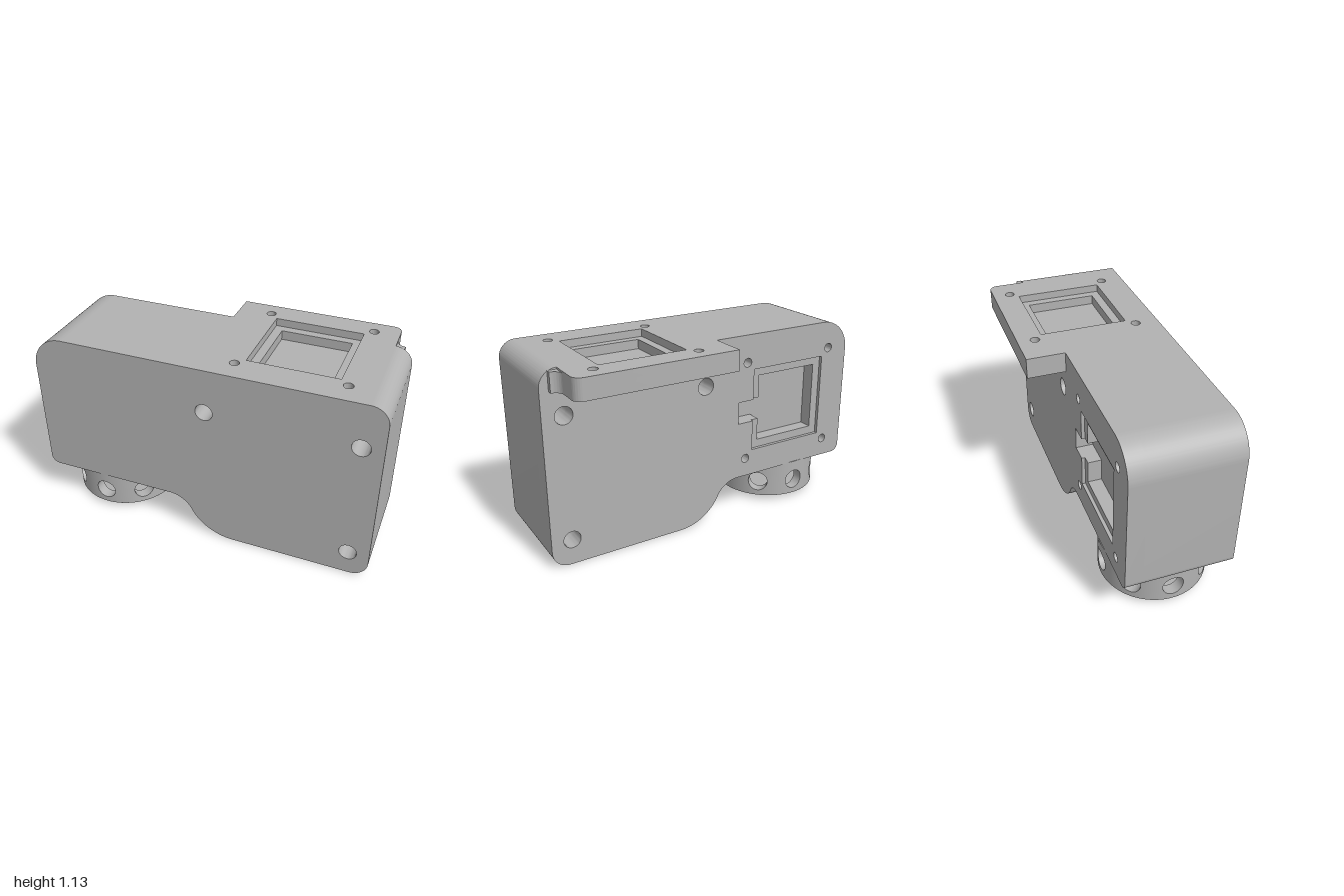
import * as THREE from 'three';
import { toCreasedNormals } from 'three/addons/utils/BufferGeometryUtils.js';
import { ParametricGeometry } from 'three/addons/geometries/ParametricGeometry.js';

const grey = new THREE.MeshStandardMaterial({ color: 0xb2b2b2 });
grey.name = 'grey';
const greyThin = grey.clone();
greyThin.side = THREE.DoubleSide;

const circle = (x, y, r) => new THREE.Path().absarc(x, y, r, 0, Math.PI * 2, true);
const poly = (pts) => new THREE.Path(pts.map(([x, y]) => new THREE.Vector2(x, y)));
const square = (x, y, h) => poly([[x - h, y - h], [x - h, y + h], [x + h, y + h], [x + h, y - h]]);
const fourHoles = (x, y) => [-1, 1].flatMap((i) => [-1, 1].map((j) => circle(x + i * 0.3025, y + j * 0.3025, 0.027)));

function extrude(shape, holes, from, to) {
  shape.holes = holes;
  const geo = new THREE.ExtrudeGeometry(shape, { depth: to - from, bevelEnabled: false, curveSegments: 20 });
  geo.translate(0, 0, from);
  return toCreasedNormals(geo, 0.5);
}

// Body outline, with a gap at the top where the slab sits
function bodyShape() {
  const s = new THREE.Shape(), q = Math.PI / 2, tilt = 0.472;
  s.moveTo(0.2, 0);
  s.absarc(0.9, 0.1, 0.1, -q, 0, false);
  s.absarc(0.9, 1.03, 0.1, 0, q, false);
  s.lineTo(0.9, 1.01);
  s.lineTo(-0.04, 1.01);
  s.lineTo(-0.04, 1.13);
  s.absarc(-0.815, 0.945, 0.185, q, 2 * q, false);
  s.absarc(-0.95, 0.295, 0.05, 2 * q, 3 * q, false);
  s.absarc(-0.2, 0.088, 0.157, q, tilt, true);
  s.absarc(0.2, 0.292, 0.292, Math.PI + tilt, 3 * q, false);
  return s;
}

// Top slab outline, drawn with y = -z
function slabShape() {
  const s = new THREE.Shape();
  s.moveTo(-0.04, -0.42);
  s.lineTo(0.9, -0.42);
  s.absarc(0.85, 0.37, 0.05, 0, Math.PI / 2, false);
  s.lineTo(-0.04, 0.42);
  return s;
}

// Square pocket with a side notch, for the back face
function notchedPocket(h) {
  const x = -0.5575, y = 0.6625;
  return poly([[x - h, y - h], [x - h, y + h], [x + h, y + h], [x + h, 0.73],
    [-0.2, 0.73], [-0.2, 0.595], [x + h, 0.595], [x + h, y - h]]);
}

// One eighth of the ring wall: a curved panel around a round hole
const ring = { x: -0.64, z: 0.105, outer: 0.31, inner: 0.245, low: 0.03, high: 0.25, holeY: 0.125, holeR: 0.061 };
function ringPoint(turn, spread, radius, target) {
  const c = Math.cos(turn), s = Math.sin(turn), q = Math.max(Math.abs(c), Math.abs(s));
  const up = s > 0 ? ring.high - ring.holeY : ring.holeY - ring.low;
  const a = THREE.MathUtils.lerp(Math.asin(ring.holeR * c / radius), (c / q) * Math.PI / 8, spread);
  const y = ring.holeY + THREE.MathUtils.lerp(ring.holeR * s, (s / q) * up, spread);
  target.set(radius * Math.sin(a), y, radius * Math.cos(a));
}

export function createModel() {
  const model = new THREE.Group();
  const add = (name, geo, mat = grey, parent = model) => {
    const mesh = new THREE.Mesh(geo, mat);
    mesh.name = name;
    parent.add(mesh);
    return mesh;
  };

  // Body in layers from back to front, so that the back pockets are real
  const bolts = () => [[0.03, 0.87], [0.88, 0.87], [0.88, 0.15]].map(([x, y]) => circle(x, y, 0.05));
  const backScrews = () => fourHoles(-0.5575, 0.6625);
  add('bodyBackLip', extrude(bodyShape(), [...bolts(), ...backScrews(), notchedPocket(0.255)], -0.2, -0.18));
  add('bodyBackPocket', extrude(bodyShape(), [...bolts(), ...backScrews(), notchedPocket(0.205)], -0.18, -0.1));
  add('bodyMain', extrude(bodyShape(), bolts(), -0.1, 0.42));

  // Top slab in layers, overhanging the back
  const slab = (name, holes, from, to) =>
    add(name, extrude(slabShape(), holes, from, to).rotateX(-Math.PI / 2));
  slab('slabBase', [], 1.01, 1.03);
  slab('slabPocket', [...fourHoles(0.4555, 0.0165), square(0.4555, 0.0165, 0.205)], 1.03, 1.085);
  slab('slabLip', [...fourHoles(0.4555, 0.0165), square(0.4555, 0.0165, 0.255)], 1.085, 1.13);

  // Small fillet where the overhang meets the body
  const fillet = new THREE.Shape();
  fillet.moveTo(0.9, 0.2);
  fillet.lineTo(0.95, 0.2);
  fillet.lineTo(0.95, 0.228);
  fillet.absarc(0.95, 0.278, 0.05, -Math.PI / 2, -Math.PI, true);
  add('overhangFillet', extrude(fillet, [], 1.01, 1.12).rotateX(-Math.PI / 2));

  // Ring with eight round holes under the body
  const collar = new THREE.Group();
  collar.name = 'ring';
  collar.position.set(ring.x, 0, ring.z);
  model.add(collar);
  const face = (r) => new ParametricGeometry((u, v, t) => ringPoint(u * Math.PI * 2, v, r, t), 32, 4);
  const outer = face(ring.outer), inner = face(ring.inner);
  const bore = new ParametricGeometry((u, v, t) =>
    ringPoint(u * Math.PI * 2, 0, THREE.MathUtils.lerp(ring.inner, ring.outer, v), t), 32, 1);
  for (let i = 0; i < 8; i++) {
    for (const [name, geo] of [['ringOuterWall', outer], ['ringInnerWall', inner], ['ringHole', bore]]) {
      add(name, geo, greyThin, collar).rotation.y = i * Math.PI / 4;
    }
  }
  for (const y of [ring.low, ring.high]) {
    const rim = new THREE.RingGeometry(ring.inner, ring.outer, 64).rotateX(Math.PI / 2);
    add('ringRim', rim, greyThin, collar).position.y = y;
  }
  return model;
}
